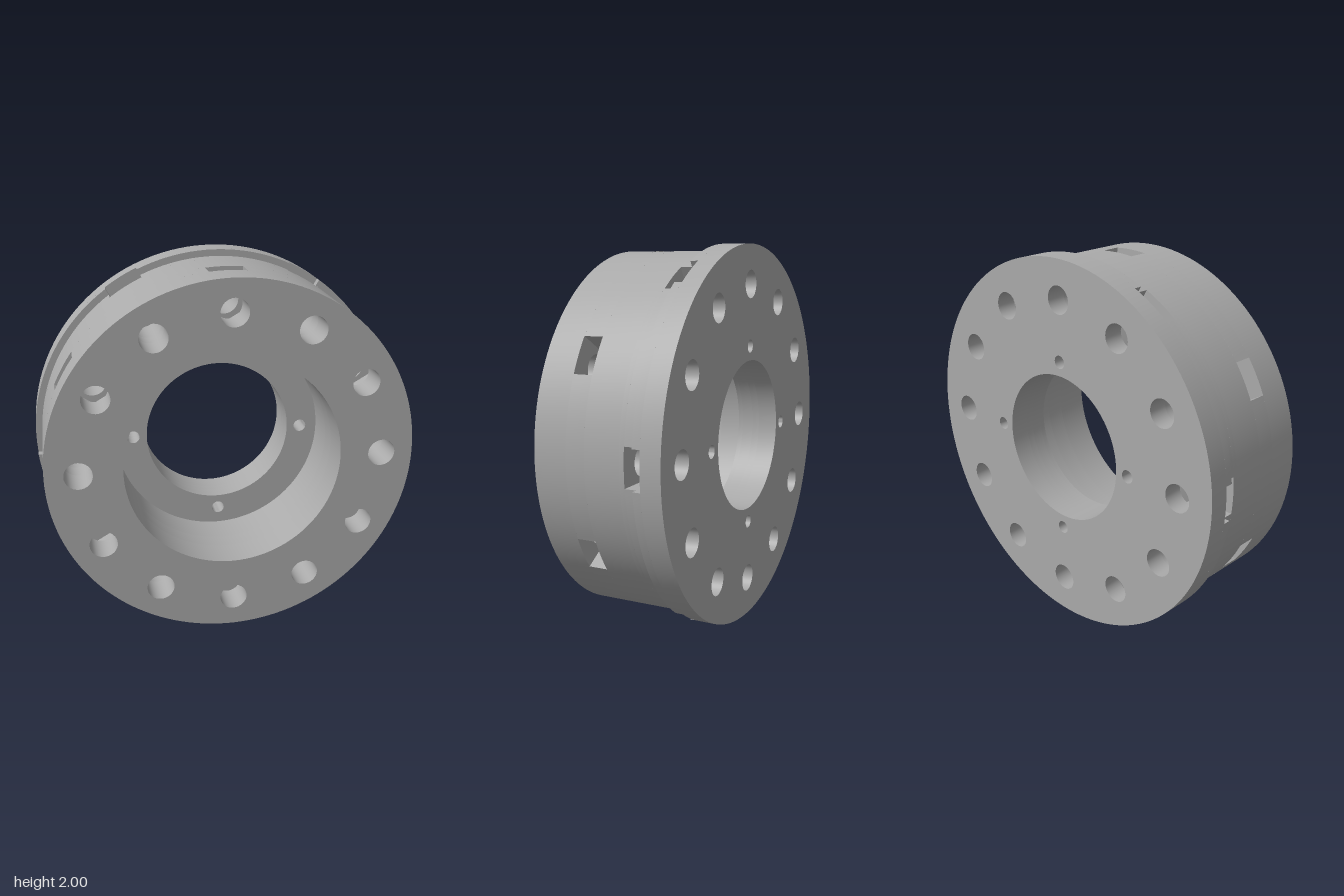
import * as THREE from 'three';
import { toCreasedNormals } from 'three/addons/utils/BufferGeometryUtils.js';

const BODY_R = 0.965, FLANGE_R = 1, BORE_R = 0.4, COUNTERBORE_R = 0.57;
const BOLT_CIRCLE = 0.795, BOLT_R = 0.073;
const PIN_CIRCLE = 0.475, PIN_R = 0.035;
const POCKET_W = 0.097, POCKET_FLOOR = 0.735, POCKET_V = 0.679;

// Circular hole with its centre at polar position (r, angle)
function addHole(shape, r, angle, radius, segments) {
  const cx = r * Math.cos(angle), cy = r * Math.sin(angle);
  const points = [];
  for (let i = 0; i < segments; i++) {
    const a = -i / segments * Math.PI * 2;
    points.push(new THREE.Vector2(cx + radius * Math.cos(a), cy + radius * Math.sin(a)));
  }
  shape.holes.push(new THREE.Path(points));
}

// Outer outline: a circle, or a circle with six deep V-floored pockets
function outline(radius, pocketAngle) {
  const points = [];
  if (pocketAngle === null) {
    for (let i = 0; i < 144; i++) {
      const a = i / 144 * Math.PI * 2;
      points.push(new THREE.Vector2(radius * Math.cos(a), radius * Math.sin(a)));
    }
    return points;
  }
  const half = Math.asin(POCKET_W / radius), rim = radius * Math.cos(half);
  for (let k = 0; k < 6; k++) {
    const a = pocketAngle + k * Math.PI / 3, c = Math.cos(a), s = Math.sin(a);
    const profile = [[rim, -POCKET_W], [POCKET_FLOOR, -POCKET_W], [POCKET_V, 0], [POCKET_FLOOR, POCKET_W]];
    for (const [u, t] of profile) points.push(new THREE.Vector2(u * c - t * s, u * s + t * c));
    for (let i = 0; i < 20; i++) {
      const b = a + half + (Math.PI / 3 - 2 * half) * i / 20;
      points.push(new THREE.Vector2(radius * Math.cos(b), radius * Math.sin(b)));
    }
  }
  return points;
}

// One layer of the hub between z0 and z1
function layer({ name, z0, z1, radius, bore, pocketAngle = null }, material) {
  const shape = new THREE.Shape(outline(radius, pocketAngle));
  addHole(shape, 0, 0, bore, 96);
  for (let i = 0; i < 12; i++) {
    const a = i * Math.PI / 6;
    // Pockets swallow the bolt holes that they cross
    const offset = pocketAngle === null ? -1 : Math.round((a - pocketAngle) / (Math.PI / 6));
    if (offset % 2 !== 0) addHole(shape, BOLT_CIRCLE, a, BOLT_R, 32);
  }
  if (bore === BORE_R) {
    for (let i = 0; i < 4; i++) addHole(shape, PIN_CIRCLE, i * Math.PI / 2, PIN_R, 24);
  }
  const geometry = new THREE.ExtrudeGeometry(shape, { depth: z1 - z0, bevelEnabled: false });
  const mesh = new THREE.Mesh(toCreasedNormals(geometry, Math.PI / 6), material);
  mesh.name = name;
  mesh.position.set(0, 1, z0);
  return mesh;
}

export function createModel() {
  const grey = new THREE.MeshStandardMaterial({ color: 0xaaaaaa });
  grey.name = 'grey metal';

  const group = new THREE.Group();
  group.name = 'flangedHub';
  const layers = [
    { name: 'flangeBack', z0: -0.345, z1: -0.24, radius: FLANGE_R, bore: BORE_R },
    { name: 'flangeNotched', z0: -0.24, z1: -0.2, radius: FLANGE_R, bore: BORE_R, pocketAngle: 0 },
    { name: 'bodyNotched', z0: -0.2, z1: -0.14, radius: BODY_R, bore: BORE_R, pocketAngle: 0 },
    { name: 'boreLedge', z0: -0.14, z1: -0.115, radius: BODY_R, bore: BORE_R },
    { name: 'bodyMiddle', z0: -0.115, z1: 0.07, radius: BODY_R, bore: COUNTERBORE_R },
    { name: 'bodyPockets', z0: 0.07, z1: 0.17, radius: BODY_R, bore: COUNTERBORE_R, pocketAngle: Math.PI / 6 },
    { name: 'bodyFront', z0: 0.17, z1: 0.345, radius: BODY_R, bore: COUNTERBORE_R },
  ];
  for (const spec of layers) group.add(layer(spec, grey));
  return group;
}
